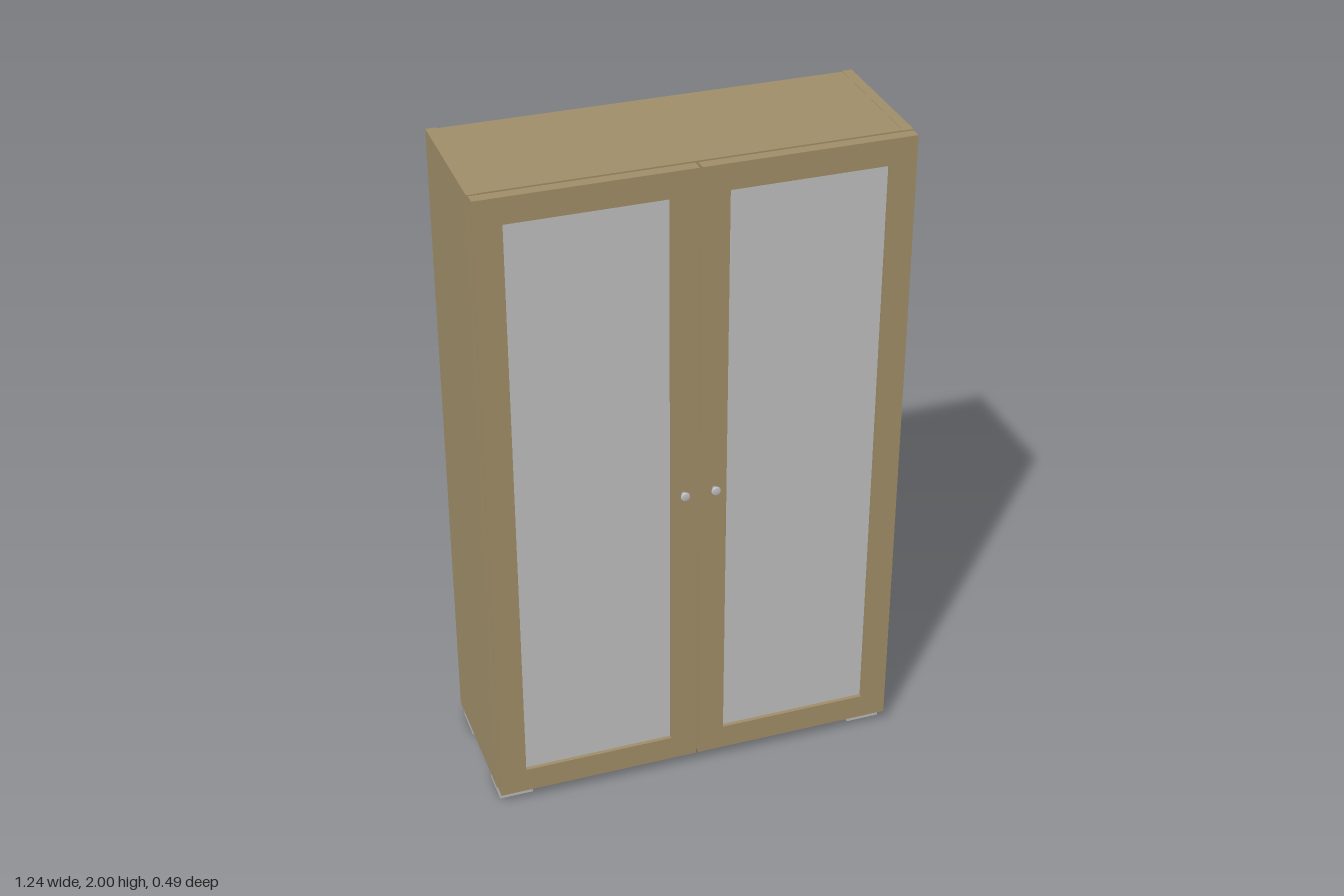
import * as THREE from 'three';

const wood = new THREE.MeshStandardMaterial({ name: 'oak wood', color: 0xa08e68 });
const glass = new THREE.MeshStandardMaterial({ name: 'frosted grey', color: 0xbebebe });

// Box given by its minimum and maximum corners
function box(parent, name, material, [x0, y0, z0], [x1, y1, z1]) {
  const mesh = new THREE.Mesh(new THREE.BoxGeometry(x1 - x0, y1 - y0, z1 - z0), material);
  mesh.position.set((x0 + x1) / 2, (y0 + y1) / 2, (z0 + z1) / 2);
  mesh.name = name;
  parent.add(mesh);
  return mesh;
}

// The same box on both sides of the centre plane
function boxPair(parent, name, material, a, b) {
  box(parent, name + 'Left', material, a, b);
  box(parent, name + 'Right', material, [-b[0], a[1], a[2]], [-a[0], b[1], b[2]]);
}

const bottom = 0.042, top = 2;
const doorBack = 0.189, doorFront = 0.222;

function createCarcass() {
  const carcass = new THREE.Group();
  carcass.name = 'carcass';
  boxPair(carcass, 'sidePanel', wood, [0.59, bottom, -0.247], [0.62, top, 0.182]);
  box(carcass, 'topPanel', wood, [-0.59, top - 0.03, -0.243], [0.59, top - 0.001, 0.178]);
  box(carcass, 'bottomPanel', wood, [-0.59, bottom + 0.001, -0.243], [0.59, bottom + 0.031, 0.178]);
  box(carcass, 'backPanel', wood, [-0.59, bottom + 0.031, -0.243], [0.59, top - 0.03, -0.233]);
  for (const y of [0.53, 1.02, 1.51]) {
    box(carcass, 'shelf', wood, [-0.59, y - 0.013, -0.233], [0.59, y + 0.013, 0.165]);
  }
  return carcass;
}

function createDoors() {
  const doors = new THREE.Group();
  doors.name = 'doors';
  const inner = 0.004, outer = 0.617, stile = 0.079;
  const railLow = 0.12, railHigh = 1.922;
  const a = inner + stile, b = outer - stile;
  boxPair(doors, 'innerStile', wood, [inner, bottom, doorBack], [a, top, doorFront]);
  boxPair(doors, 'outerStile', wood, [b, bottom, doorBack], [outer, top, doorFront]);
  boxPair(doors, 'bottomRail', wood, [a, bottom, doorBack], [b, railLow, doorFront]);
  boxPair(doors, 'topRail', wood, [a, railHigh, doorBack], [b, top, doorFront]);
  boxPair(doors, 'glassPane', glass, [a, railLow, 0.202], [b, railHigh, 0.21]);

  // Round knobs flaring towards the front
  const profile = [[0, 0], [0.008, 0], [0.008, 0.006], [0.014, 0.015], [0.014, 0.018], [0.011, 0.021], [0, 0.021]];
  const knobShape = new THREE.LatheGeometry(profile.map(([r, h]) => new THREE.Vector2(r, h)), 20);
  knobShape.rotateX(Math.PI / 2);
  for (const side of [-1, 1]) {
    const knob = new THREE.Mesh(knobShape, glass);
    knob.name = side > 0 ? 'knobLeft' : 'knobRight';
    knob.position.set(side * 0.046, 0.995, doorFront);
    doors.add(knob);
  }
  return doors;
}

function createFeet() {
  const feet = new THREE.Group();
  feet.name = 'feet';
  for (const side of [-1, 1]) {
    for (const z of [-0.184, 0.134]) {
      const foot = box(feet, 'foot', glass, [-0.053, 0, -0.053], [0.053, bottom, 0.053]);
      // Slight taper towards the floor
      const p = foot.geometry.attributes.position;
      for (let i = 0; i < p.count; i++) {
        if (p.getY(i) < 0) p.setXYZ(i, p.getX(i) * 0.96, p.getY(i), p.getZ(i) * 0.96);
      }
      foot.geometry.computeVertexNormals();
      foot.position.x = side * 0.562;
      foot.position.z = z;
    }
  }
  return feet;
}

export function createModel() {
  const cabinet = new THREE.Group();
  cabinet.name = 'cabinet';
  cabinet.add(createCarcass(), createDoors(), createFeet());
  return cabinet;
}
